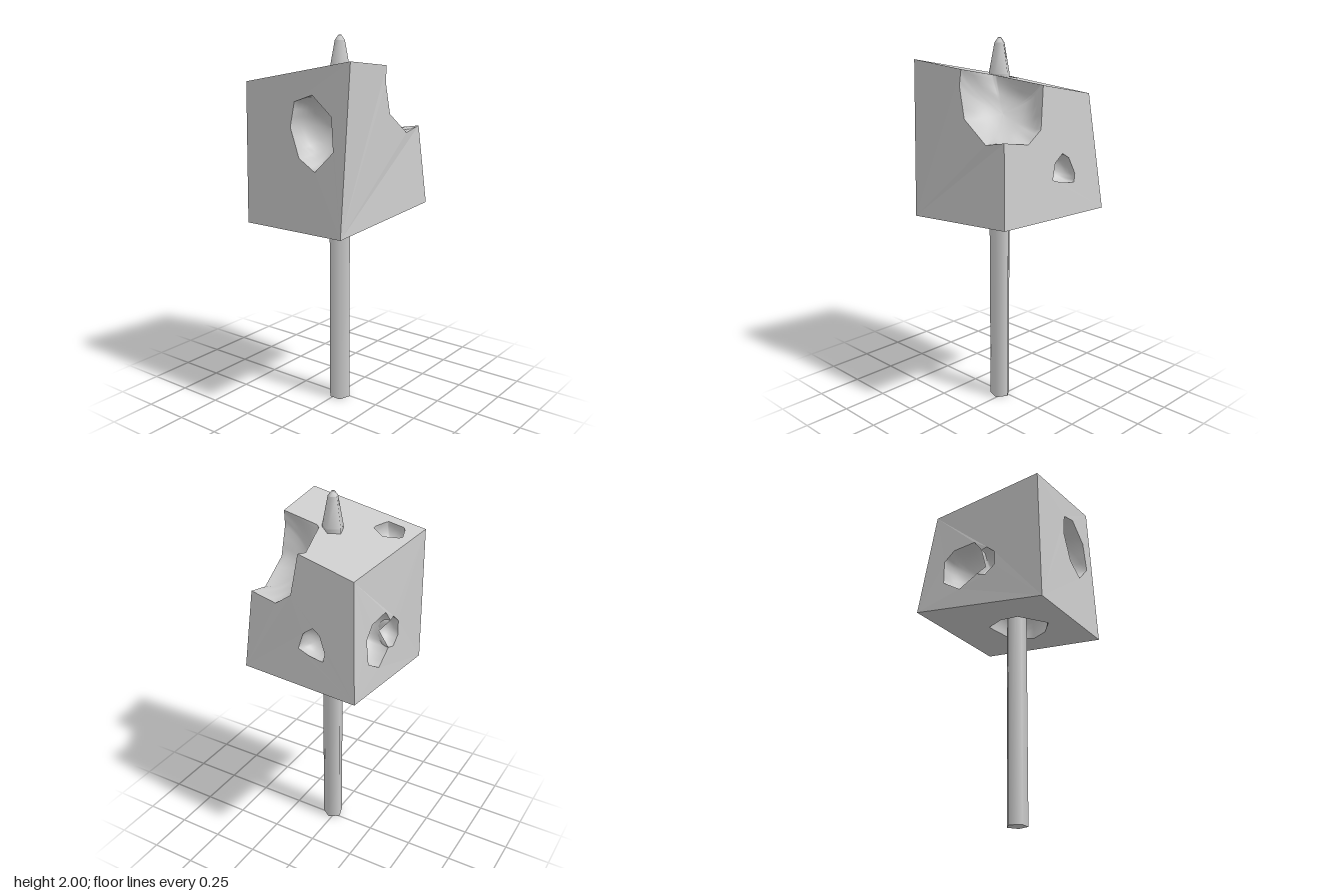
import * as THREE from 'three';

const V = (x, y, z) => new THREE.Vector3(x, y, z);
const skin = new THREE.MeshStandardMaterial({ color: 0xcccccc, side: THREE.DoubleSide });
const wood = new THREE.MeshStandardMaterial({ color: 0xcccccc });

// Corners of the skewed block: l = top/bottom, F/B = front/back, P/M = +x/-x
const bFM = V(-0.39, 1.045, 0.30), bFP = V(0.33, 1.11, 0.34);
const bBP = V(0.39, 1.115, -0.34), bBM = V(-0.355, 1.03, -0.34);
const tFM = V(-0.34, 1.89, 0.32), tFP = V(0.265, 1.83, 0.28);
const tBP = V(0.32, 1.72, -0.29), tBM = V(-0.34, 1.77, -0.34);
const middle = V(0, 1.45, 0);

// Where the bitten corner crosses the three block edges
const cutTopFront = tFM.clone().lerp(tFP, 0.545);
const cutFrontSide = tFP.clone().lerp(bFP, 0.417);
const cutSideTop = tFP.clone().lerp(tBP, 0.44);

// Returns a function that places 2D points (axes a, b) on a four-cornered face
function faceSurface(a, b, c00, c10, c11, c01) {
  const w = (c10[a] - c00[a] + c11[a] - c01[a]) / 2;
  const h = (c01[b] - c00[b] + c11[b] - c10[b]) / 2;
  const at = (u, v) => c00.clone().lerp(c10, u).lerp(c01.clone().lerp(c11, u), v);
  return ([p, q]) => {
    let u = 0.5, v = 0.5;
    for (let i = 0; i < 30; i++) {
      const s = at(u, v);
      u += (p - s[a]) / w;
      v += (q - s[b]) / h;
    }
    return at(u, v);
  };
}

// Flat-shaded block face with openings, every triangle turned outward
function facePanel(name, a, b, outline, holes = []) {
  const flat = (loop) => loop.map((p) => new THREE.Vector2(p[a], p[b]));
  const contour = flat(outline), gaps = holes.map(flat);
  const points = [outline, ...holes].flat();
  if (THREE.ShapeUtils.isClockWise(contour)) { contour.reverse(); points.splice(0, outline.length, ...outline.slice().reverse()); }
  const tris = THREE.ShapeUtils.triangulateShape(contour, gaps);
  const out = [];
  for (const t of tris) {
    const [p, q, r] = t.map((i) => points[i]);
    const n = q.clone().sub(p).cross(r.clone().sub(p));
    out.push(...(n.dot(p.clone().sub(middle)) > 0 ? [p, q, r] : [p, r, q]));
  }
  const geometry = new THREE.BufferGeometry().setFromPoints(out);
  geometry.computeVertexNormals();
  const mesh = new THREE.Mesh(geometry, skin);
  mesh.name = name;
  return mesh;
}

// Smooth round hollow: sweeps the rim over a sphere to its deepest point
function hollow(name, rim, inward, depth, centre) {
  const loop = [];
  rim.forEach((p, i) => {
    for (let k = 0; k < 3; k++) loop.push(p.clone().lerp(rim[(i + 1) % rim.length], k / 3));
  });
  const pole = inward.clone().normalize();
  const c = centre || rim.reduce((s, p) => s.add(p), V(0, 0, 0)).divideScalar(rim.length).addScaledVector(pole, depth);
  const radius = loop.reduce((s, p) => s + p.distanceTo(c), 0) / loop.length;
  const rings = 9, n = loop.length, points = [], index = [];
  for (let j = 0; j <= rings; j++) {
    const t = j / rings;
    for (const p of loop) {
      const d = p.clone().sub(c), r = d.length();
      d.normalize();
      const angle = d.angleTo(pole);
      const dir = d.multiplyScalar(Math.sin((1 - t) * angle)).addScaledVector(pole, Math.sin(t * angle)).divideScalar(Math.sin(angle));
      points.push(dir.multiplyScalar(r + (radius - r) * Math.min(1, 2 * t)).add(c));
    }
  }
  for (let j = 0; j < rings; j++) {
    for (let i = 0; i < n; i++) {
      const p = j * n + i, q = j * n + (i + 1) % n;
      index.push(p, q, p + n);
      if (j < rings - 1) index.push(q, q + n, p + n);
    }
  }
  const geometry = new THREE.BufferGeometry().setFromPoints(points);
  geometry.setIndex(index);
  geometry.computeVertexNormals();
  const mesh = new THREE.Mesh(geometry, skin);
  mesh.name = name;
  return mesh;
}

export function createModel() {
  const model = new THREE.Group();
  model.name = 'cubeOnStick';
  const block = new THREE.Group();
  block.name = 'block';
  model.add(block);

  const front = faceSurface('x', 'y', bFM, bFP, tFP, tFM);
  const back = faceSurface('x', 'y', bBM, bBP, tBP, tBM);
  const left = faceSurface('z', 'y', bBP, bFP, tFP, tBP);
  const right = faceSurface('z', 'y', bBM, bFM, tFM, tBM);
  const top = faceSurface('x', 'z', tBM, tBP, tFP, tFM);
  const bottom = faceSurface('x', 'z', bBM, bBP, bFP, bFM);

  // Bitten corner, running over the front, left and top faces
  const frontCut = [[-0.02, 1.775], [0.016, 1.616], [0.17, 1.505]].map(front);
  const leftCut = [[0.153, 1.505], [0.063, 1.569]].map(left);
  const topCut = [[0.273, 0.015], [0.252, 0.006], [0.015, 0.078], [-0.002, 0.099]].map(top);
  const bite = [cutTopFront, ...frontCut, cutFrontSide, ...leftCut, cutSideTop, ...topCut];
  block.add(hollow('cornerHollow', bite, V(-0.6, -0.5, -0.6), 0, V(0.23, 1.76, 0.25)));

  // Rims of the single holes
  const topRim = [[-0.277, -0.248], [-0.256, -0.263], [-0.187, -0.284], [-0.17, -0.275], [-0.126, -0.204],
    [-0.17, -0.132], [-0.189, -0.13], [-0.256, -0.151], [-0.277, -0.16]].map(top);
  const leftRim = [[0.005, 1.31], [-0.02, 1.394], [-0.075, 1.436], [-0.116, 1.41], [-0.153, 1.325],
    [-0.143, 1.28], [-0.058, 1.29]].map(left);
  const rightRim = [[0.096, 1.725], [0.218, 1.63], [0.236, 1.463], [0.124, 1.355], [0.02, 1.413],
    [-0.04, 1.561], [-0.016, 1.687]].map(right);
  const bottomRim = [[0.08, 0.1], [0.11, -0.05], [0, -0.12], [-0.11, -0.135], [-0.23, -0.01],
    [-0.155, 0.1], [-0.05, 0.17]].map(bottom);
  block.add(
    hollow('topHollow', topRim, V(0.09, -1, -0.18), 0.02),
    hollow('leftHollow', leftRim, V(-1, -0.1, 0), 0.02),
    hollow('rightHollow', rightRim, V(1, 0, 0), 0.03),
    hollow('bottomHollow', bottomRim, V(-0.09, 1, 0), 0.03),
  );

  // Two merged holes in the back, meeting along a sunken ridge
  const [cuspTop, cuspLow] = [[0.003, 1.4], [0.026, 1.259]].map(back);
  const ridge = V(0.01, 1.33, -0.27);
  const bigArc = [[0.13, 1.194], [0.234, 1.26], [0.24, 1.394], [0.18, 1.452], [0.05, 1.464]].map(back);
  const smallArc = [[-0.03, 1.41], [-0.08, 1.364], [-0.08, 1.287], [-0.026, 1.243]].map(back);
  block.add(
    hollow('backLargeHollow', [cuspLow, ...bigArc, cuspTop, ridge], V(0, 0, 1), 0.02),
    hollow('backSmallHollow', [cuspTop, ...smallArc, cuspLow, ridge], V(0, 0, 1), 0.01),
  );

  // Outer faces
  block.add(
    facePanel('frontFace', 'x', 'y', [bFM, bFP, cutFrontSide, ...frontCut.slice().reverse(), cutTopFront, tFM]),
    facePanel('leftFace', 'z', 'y', [bFP, bBP, tBP, cutSideTop, ...leftCut.slice().reverse(), cutFrontSide], [leftRim]),
    facePanel('topFace', 'x', 'z', [tFM, tBM, tBP, cutSideTop, ...topCut, cutTopFront], [topRim]),
    facePanel('rightFace', 'z', 'y', [bBM, bFM, tFM, tBM], [rightRim]),
    facePanel('bottomFace', 'x', 'z', [bBM, bBP, bFP, bFM], [bottomRim]),
    facePanel('backFace', 'x', 'y', [bBM, bBP, tBP, tBM], [[cuspLow, ...bigArc, cuspTop, ...smallArc]]),
  );

  // Five-sided stick with a tapered, blunt tip
  const stick = new THREE.Group();
  stick.name = 'stick';
  stick.position.set(-0.022, 0, 0.018);
  const segment = (name, rTop, rBottom, y0, y1, open) => {
    const geometry = new THREE.CylinderGeometry(rTop, rBottom, y1 - y0, 5, 1, open, Math.PI / 2);
    const mesh = new THREE.Mesh(geometry, wood);
    mesh.name = name;
    mesh.position.y = (y0 + y1) / 2;
    stick.add(mesh);
  };
  segment('shaft', 0.057, 0.057, 0, 1.82, false);
  segment('taper', 0.027, 0.057, 1.82, 1.975, true);
  segment('tip', 0.008, 0.027, 1.975, 2, false);
  model.add(stick);
  return model;
}
